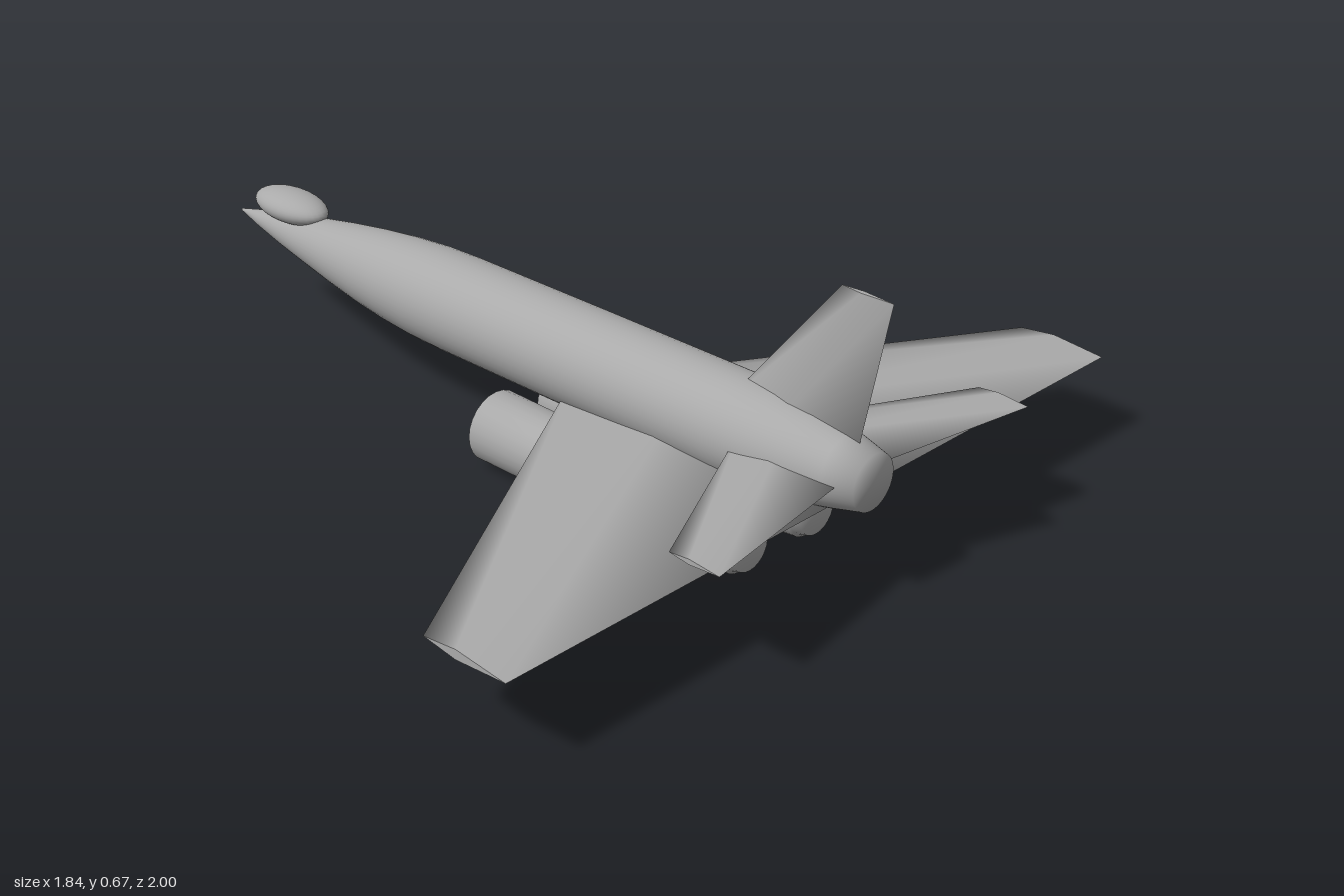
import * as THREE from 'three';

const grey = new THREE.MeshStandardMaterial({ color: 0xaaaaaa });
grey.name = 'airframe grey';

// Body of revolution along z from [z, radius] pairs, listed from nose to tail
function turned(name, profile, sides) {
  const pts = profile.map(([z, r]) => new THREE.Vector2(r, z));
  const mesh = new THREE.Mesh(new THREE.LatheGeometry(pts, sides).rotateX(Math.PI / 2), grey);
  mesh.name = name;
  return mesh;
}

// Tapered lifting surface: root and tip are { span, lead, trail, half }.
// Each section is a slim diamond; the surface spans along +x at y = 0.
function surface(name, root, tip, peak) {
  const pos = [], index = [];
  const section = ({ span, lead, trail, half }) => {
    const mid = lead + (trail - lead) * peak;
    return [span, 0, lead, span, half, mid, span, 0, trail, span, -half, mid];
  };
  pos.push(...section(root), ...section(tip));
  for (let i = 0; i < 4; i++) {
    const j = (i + 1) % 4;
    index.push(i, j, 4 + j, i, 4 + j, 4 + i);
  }
  // Separate vertices keep the end caps crisp
  pos.push(...section(root), ...section(tip));
  index.push(8, 10, 9, 8, 11, 10, 12, 13, 14, 12, 14, 15);
  const geo = new THREE.BufferGeometry();
  geo.setAttribute('position', new THREE.Float32BufferAttribute(pos, 3));
  geo.setIndex(index);
  // Root sits on the low-span side, so outward order is checked by the top face
  const a = new THREE.Vector3().fromArray(pos, 0), b = new THREE.Vector3().fromArray(pos, 3);
  const d = new THREE.Vector3().fromArray(pos, 15);
  if (b.clone().sub(a).cross(d.sub(a)).y < 0) {
    for (let i = 0; i < index.length; i += 3) [index[i + 1], index[i + 2]] = [index[i + 2], index[i + 1]];
    geo.setIndex(index);
  }
  geo.computeVertexNormals();
  const mesh = new THREE.Mesh(geo, grey);
  mesh.name = name;
  return mesh;
}

export function createModel() {
  const plane = new THREE.Group();
  plane.name = 'jet aircraft';

  // Fuselage, with the centre line drooping slightly to the nose
  const fuselage = turned('fuselage', [
    [-1, 0], [-0.997, 0.003], [-0.92, 0.021], [-0.82, 0.041], [-0.74, 0.055], [-0.61, 0.077],
    [-0.5, 0.093], [-0.4, 0.104], [-0.3, 0.111], [-0.2, 0.113], [0.2, 0.113], [0.62, 0.112],
    [0.72, 0.108], [0.82, 0.096], [0.9, 0.08], [0.97, 0.063], [0.97, 0],
  ], 40);
  const p = fuselage.geometry.attributes.position;
  for (let i = 0; i < p.count; i++) p.setY(i, p.getY(i) + 0.276 + 0.008 * p.getZ(i));
  plane.add(fuselage);

  // Canopy
  const canopy = new THREE.Mesh(new THREE.SphereGeometry(1, 32, 20), grey);
  canopy.name = 'canopy';
  canopy.scale.set(0.061, 0.038, 0.116);
  canopy.position.set(0, 0.338, -0.803);
  plane.add(canopy);

  // Paired wings, tailplanes and engines
  for (const side of [1, -1]) {
    const label = side > 0 ? 'left' : 'right';

    const wing = surface(label + 'Wing',
      { span: side * 0.03, lead: 0.164, trail: 0.89, half: 0.029 },
      { span: side * 0.92, lead: 0.675, trail: 0.89, half: 0.011 }, 0.4);
    wing.position.y = 0.21;
    plane.add(wing);

    const tail = surface(label + 'Tailplane',
      { span: side * 0.03, lead: 0.65, trail: 0.925, half: 0.014 },
      { span: side * 0.48, lead: 0.87, trail: 0.995, half: 0.006 }, 0.4);
    tail.position.y = 0.285;
    plane.add(tail);

    const engine = turned(label + 'Engine', [
      [0.015, 0], [0.015, 0.083], [0.25, 0.081], [0.5, 0.075], [0.7, 0.069],
      [0.73, 0.066], [0.73, 0.06], [0.755, 0.053], [0.755, 0],
    ], 24);
    engine.position.set(side * 0.105, 0.083 + 0.005, 0);
    plane.add(engine);
  }

  // Upright fin: same surface turned to span along +y
  const fin = surface('fin',
    { span: 0.32, lead: 0.585, trail: 0.925, half: 0.016 },
    { span: 0.675, lead: 0.865, trail: 0.99, half: 0.006 }, 0.4);
  fin.rotation.z = Math.PI / 2;
  plane.add(fin);

  // Rest the engines on y = 0
  plane.position.y = -0.005;
  return plane;
}
